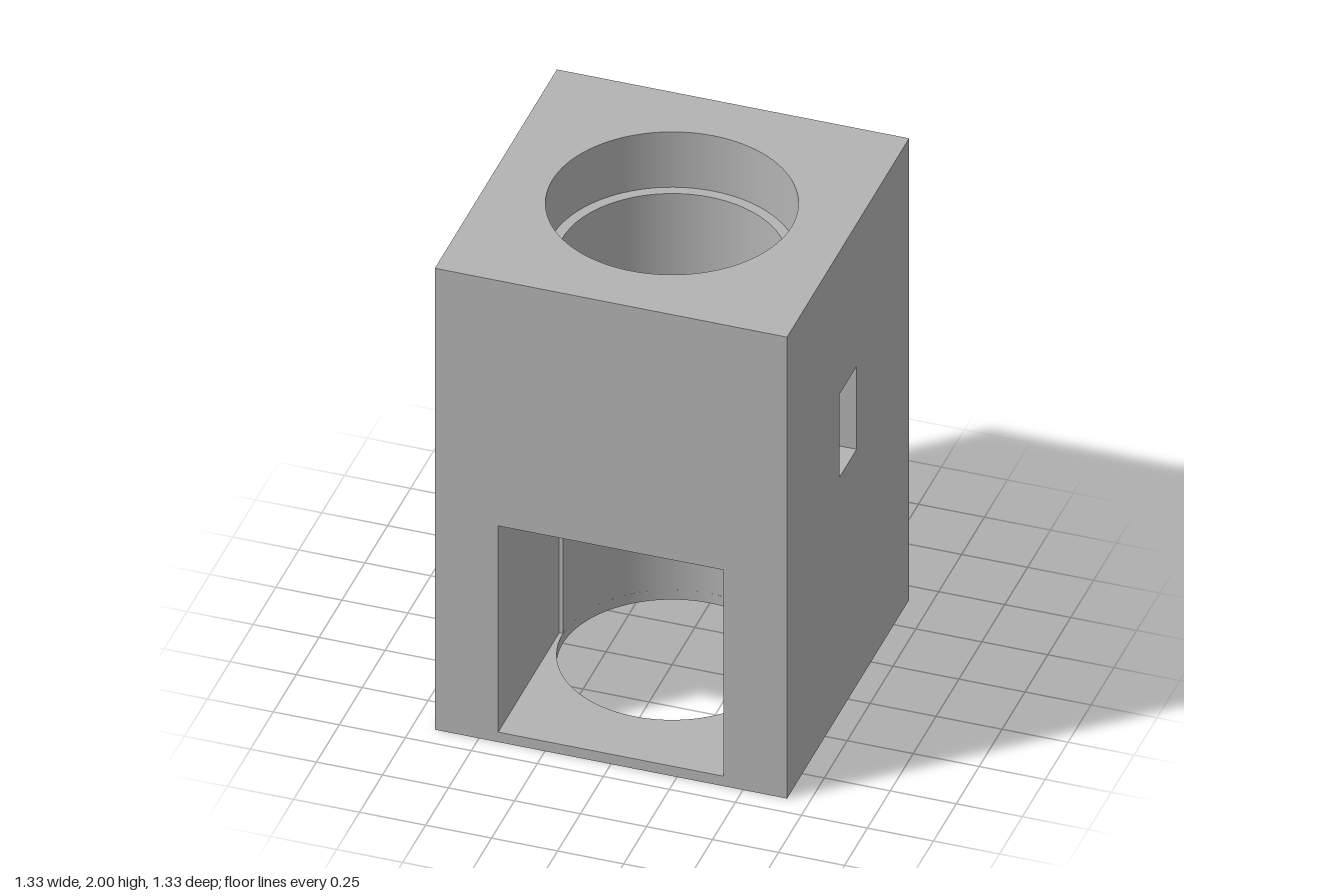
import * as THREE from 'three';

const H = 0.667, TOP = 2;               // half width of the block, height
const BORE = 0.413, RECESS = 0.453, LEDGE = 1.76;
const OW = 0.427, OY0 = 0.043, OY1 = 0.937;   // front opening
const WZ = 0.093, WY0 = 1.023, WY1 = 1.382;   // side windows
const SEG = 96, PI = Math.PI;

const grey = new THREE.MeshStandardMaterial({ color: 0xb3b3b3, side: THREE.DoubleSide });
grey.name = 'grey';

function rect(x0, y0, x1, y1, Kind = THREE.Shape) {
  return new Kind([[x0, y0], [x1, y0], [x1, y1], [x0, y1]].map(p => new THREE.Vector2(...p)));
}

// Turns a surface inside out
function flip(geo) {
  const index = geo.index.array;
  for (let i = 0; i < index.length; i += 3) {
    [index[i], index[i + 1]] = [index[i + 1], index[i]];
  }
  geo.attributes.normal.array.forEach((n, i, a) => { a[i] = -n; });
  return geo;
}

export function createModel() {
  const group = new THREE.Group();
  group.name = 'boredBlock';

  function add(name, geo, parent = group) {
    const mesh = new THREE.Mesh(geo, grey);
    mesh.name = name;
    parent.add(mesh);
    return mesh;
  }
  // Horizontal face drawn in x and z
  function level(name, shape, y, up, parent) {
    const geo = new THREE.ShapeGeometry(shape, SEG / 2).rotateX(PI / 2).translate(0, y, 0);
    return add(name, up ? flip(geo) : geo, parent);
  }
  // Inward facing round wall
  function roundWall(name, r, y0, y1, start = 0, length = 2 * PI) {
    const geo = new THREE.CylinderGeometry(r, r, y1 - y0, SEG, 1, true, start, length);
    add(name, flip(geo.translate(0, (y0 + y1) / 2, 0)));
  }
  function squareWithHole(r) {
    const s = rect(-H, -H, H, H);
    s.holes.push(new THREE.Path().absarc(0, 0, r, 0, 2 * PI, true));
    return s;
  }

  // Outer faces
  const front = rect(-H, 0, H, TOP);
  front.holes.push(rect(-OW, OY0, OW, OY1, THREE.Path));
  add('frontFace', new THREE.ShapeGeometry(front).translate(0, 0, H));
  add('backFace', new THREE.PlaneGeometry(2 * H, TOP).rotateY(PI).translate(0, TOP / 2, -H));
  level('topFace', squareWithHole(RECESS), TOP, true);
  level('bottomFace', squareWithHole(BORE), 0, false);

  // Stepped bore, interrupted by the opening and the windows
  const a = Math.asin(WZ / BORE);
  roundWall('recessWall', RECESS, LEDGE, TOP);
  add('recessLedge', new THREE.RingGeometry(BORE, RECESS, SEG).rotateX(-PI / 2).translate(0, LEDGE, 0));
  roundWall('boreUpper', BORE, WY1, LEDGE);
  roundWall('boreWindowFront', BORE, WY0, WY1, -PI / 2 + a, PI - 2 * a);
  roundWall('boreWindowBack', BORE, WY0, WY1, PI / 2 + a, PI - 2 * a);
  roundWall('boreMiddle', BORE, OY1, WY0);
  roundWall('boreBackHalf', BORE, OY0, OY1, PI / 2, PI);
  roundWall('boreLower', BORE, 0, OY0);

  // Front opening: floor, ceiling, side walls and narrow jambs beside the bore
  const notch = new THREE.Shape();
  notch.moveTo(-OW, 0).lineTo(-BORE, 0);
  notch.absarc(0, 0, BORE, PI, 0, true);
  notch.lineTo(OW, 0).lineTo(OW, H).lineTo(-OW, H);
  level('openingFloor', notch, OY0, true);
  level('openingCeiling', notch, OY1, false);
  const oh = OY1 - OY0, oy = (OY0 + OY1) / 2;
  for (const s of [-1, 1]) {
    add('openingSide', new THREE.PlaneGeometry(H, oh).rotateY(-s * PI / 2).translate(s * OW, oy, H / 2));
    add('openingJamb', new THREE.PlaneGeometry(OW - BORE, oh).translate(s * (OW + BORE) / 2, oy, 0));
  }

  // Side faces, each with a window running through to the bore
  const side = rect(-H, 0, H, TOP);
  side.holes.push(rect(-WZ, WY0, WZ, WY1, THREE.Path));
  const inner = BORE * Math.cos(a);
  const sill = new THREE.Shape();
  sill.moveTo(H, -WZ).lineTo(H, WZ).lineTo(inner, WZ);
  sill.absarc(0, 0, BORE, a, -a, true);
  for (const [name, turn] of [['left', 0], ['right', PI]]) {
    const wall = new THREE.Group();
    wall.name = name + 'Side';
    wall.rotation.y = turn;
    group.add(wall);
    add(name + 'Face', new THREE.ShapeGeometry(side).rotateY(PI / 2).translate(H, 0, 0), wall);
    level('windowSill', sill, WY0, true, wall);
    level('windowLintel', sill, WY1, false, wall);
    for (const s of [-1, 1]) {
      const reveal = new THREE.PlaneGeometry(H - inner, WY1 - WY0);
      if (s > 0) reveal.rotateY(PI);
      add('windowReveal', reveal.translate((H + inner) / 2, (WY0 + WY1) / 2, s * WZ), wall);
    }
  }
  return group;
}
